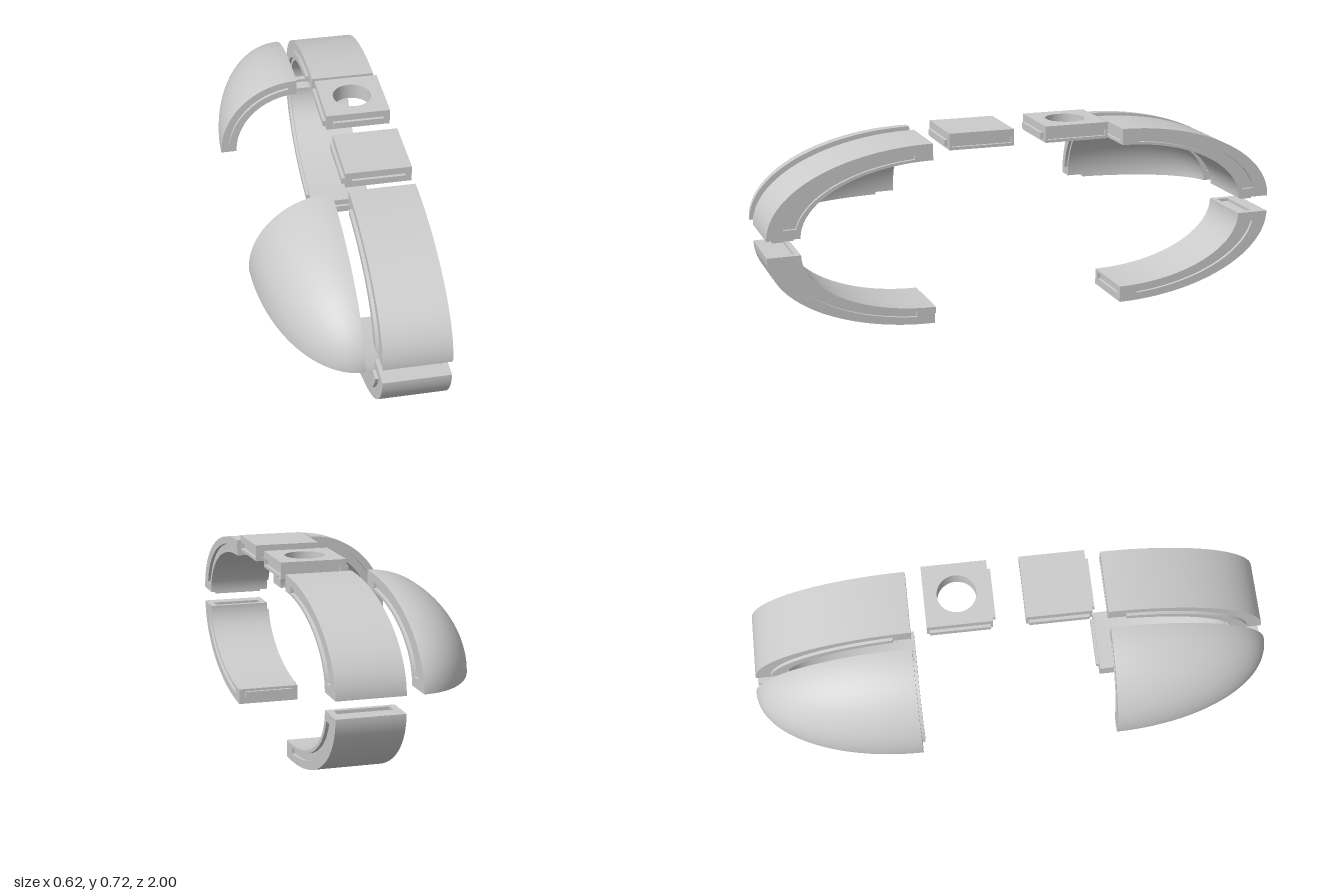
import * as THREE from 'three';
import { mergeGeometries } from 'three/addons/utils/BufferGeometryUtils.js';

const V = (x, y, z) => new THREE.Vector3(x, y, z);
const X0 = 0.0625, X1 = 0.3125;          // strip and tile extent in x
const C = 0.375;                         // split plane of the shells
const R = 0.3125, RI = 0.25;             // outer and inner radius (doubled along z)
const J0 = 0.26, J1 = 0.284;             // radii of the joint rib
const D = 0.012;                         // joint height or depth

// In-plane axes for each facing direction (u x v = outward normal)
const FACES = {
  '+x': [V(0, 0, -1), V(0, 1, 0)], '-x': [V(0, 0, 1), V(0, 1, 0)],
  '+z': [V(1, 0, 0), V(0, 1, 0)], '-z': [V(-1, 0, 0), V(0, 1, 0)],
  '+y': [V(1, 0, 0), V(0, 0, -1)], '-y': [V(1, 0, 0), V(0, 0, 1)],
};

const rect = (u0, u1, v0, v1) =>
  [[u0, v0], [u1, v0], [u1, v1], [u0, v1]].map(p => new THREE.Vector2(...p));

const circle = r => new THREE.Path().absarc(0, 0, r, 0, Math.PI * 2).getPoints(24).slice(0, -1);

// Quarter ring in the quadrant (su, sv); ku, kv stretch it, m trims both ends
function ring(su, sv, r0, r1, ku, kv, m = 0) {
  const arc = r => Array.from({ length: 41 }, (_, i) => {
    const a = Math.asin(m / r), t = a + (Math.PI / 2 - 2 * a) * i / 40;
    return new THREE.Vector2(su * ku * r * Math.cos(t), sv * kv * r * Math.sin(t));
  });
  return [...arc(r1), ...arc(r0).reverse()];
}

// Flat face with a raised tongue (depth > 0), a groove (depth < 0) or a cut-out (0)
function panel(face, origin, outline, slot, depth) {
  const shape = new THREE.Shape(outline);
  if (slot) shape.holes.push(new THREE.Path(slot));
  const list = [new THREE.ShapeGeometry(shape)];
  if (depth) {
    list.push(new THREE.ShapeGeometry(new THREE.Shape(slot)).translate(0, 0, depth));
    const pts = THREE.ShapeUtils.isClockWise(slot) ? [...slot].reverse() : slot;
    const pos = [];
    pts.forEach((a, i) => {
      const b = pts[(i + 1) % pts.length];
      pos.push(a.x, a.y, 0, b.x, b.y, 0, b.x, b.y, depth, a.x, a.y, 0, b.x, b.y, depth, a.x, a.y, depth);
    });
    const wall = new THREE.BufferGeometry();
    wall.setAttribute('position', new THREE.Float32BufferAttribute(pos, 3));
    wall.computeVertexNormals();
    list.push(wall);
  }
  const [u, v] = FACES[face];
  const m = new THREE.Matrix4().makeBasis(u, v, u.clone().cross(v)).setPosition(origin);
  return list.map(g => g.applyMatrix4(m));
}

// Turn a surface inside out
function flip(g) {
  const idx = g.index.array;
  for (let i = 0; i < idx.length; i += 3) [idx[i], idx[i + 1]] = [idx[i + 1], idx[i]];
  const n = g.attributes.normal;
  for (let i = 0; i < n.array.length; i++) n.array[i] *= -1;
  return g;
}

function part(name, ...geos) {
  const flat = geos.flat().map(g => {
    const out = g.index ? g.toNonIndexed() : g;
    out.deleteAttribute('uv');
    return out;
  });
  const mesh = new THREE.Mesh(mergeGeometries(flat), new THREE.MeshStandardMaterial({ color: 0xcccccc }));
  mesh.name = name;
  return mesh;
}

// Eighth of a hollow ellipsoid; s is the end it sits at
function corner(name, s) {
  const o = V(0, C, s * C);
  const skin = r => new THREE.SphereGeometry(1, 40, 40, s > 0 ? 0 : Math.PI * 1.5, Math.PI / 2, 0, Math.PI / 2)
    .scale(r, r, 2 * r).translate(o.x, o.y, o.z);
  return part(name, skin(R), flip(skin(RI)),
    panel('+x', o, ring(-s, 1, RI, R, 2, 1), ring(-s, 1, J0, J1, 2, 1, 0.035), -D),
    panel('-y', o, ring(-1, s, RI, R, 1, 2), ring(-1, s, J0, J1, 1, 2, 0.035), D),
    s > 0
      ? panel('-z', o, ring(1, 1, RI, R, 1, 1), ring(1, 1, J0, J1, 1, 1, 0.035), -D)
      : panel('+z', o, ring(-1, 1, RI, R, 1, 1), ring(-1, 1, J0, J1, 1, 1, 0.035), D));
}

// Quarter-ellipse strip; s is the end, t is up (1) or down (-1)
function strip(name, s, t) {
  const cy = t > 0 ? C : R, mid = (X0 + X1) / 2, w = X1 - X0, h = w / 2, j = 0.1;
  const start = t > 0 ? (s > 0 ? 0 : 0.5) : (s > 0 ? 1.5 : 1);
  const skin = r => new THREE.CylinderGeometry(1, 1, w, 40, 1, true, start * Math.PI, Math.PI / 2)
    .rotateZ(Math.PI / 2).scale(1, r, 2 * r).translate(mid, cy, s * C);
  const side = (face, x, su, d) => panel(face, V(x, cy, s * C),
    ring(su, t, RI, R, 2, 1), ring(su, t, J0, J1, 2, 1, 0.035), d);
  const span = (k, a, b) => [k * a, k * b];
  const level = t > 0 ? '-y' : '+y', q = t > 0 ? s : -s;
  const tongue = s > 0 && t < 0;
  return part(name, skin(R), flip(skin(RI)),
    side('+x', X1, -s, -D), side('-x', X0, s, D),
    panel(level, V(mid, cy, s * C), rect(-h, h, ...span(q, 2 * RI, 2 * R)),
      rect(-j, j, ...span(q, 2 * J0, 2 * J1)), t > 0 ? D : -D),
    panel(s > 0 ? '-z' : '+z', V(mid, cy, s * C), rect(-h, h, ...span(t, RI, R)),
      rect(-j, j, ...span(t, J0, J1)), tongue ? D : -D));
}

// Square tile, optionally with a round hole
function tile(name, s, hole) {
  const mid = (X0 + X1) / 2, h = (X1 - X0) / 2, z = s * mid, y0 = 0.657, t = R - RI;
  const edge = (face, dx, dz, j, d) => panel(face, V(mid + dx, y0, z + dz),
    rect(-h, h, 0, t), rect(-j, j, 0.011, 0.035), d);
  const cut = hole ? circle(0.075) : null;
  const geos = [
    edge('-x', -h, 0, 0.115, D), edge('+x', h, 0, 0.115, -D),
    edge('+z', 0, h, 0.1, D), edge('-z', 0, -h, 0.1, -D),
    panel('+y', V(mid, y0 + t, z), rect(-h, h, -h, h), cut, 0),
    panel('-y', V(mid, y0, z), rect(-h, h, -h, h), cut, 0),
  ];
  if (hole) geos.push(flip(new THREE.CylinderGeometry(0.075, 0.075, t, 48, 1, true).translate(mid, y0 + t / 2, z)));
  return part(name, ...geos);
}

export function createModel() {
  const model = new THREE.Group();
  model.name = 'shellKit';
  for (const [end, s] of [['front', 1], ['back', -1]]) {
    model.add(corner(end + 'Corner', s));
    model.add(strip(end + 'UpperStrip', s, 1));
    model.add(strip(end + 'LowerStrip', s, -1));
  }
  model.add(tile('plainTile', 1, false), tile('holeTile', -1, true));
  return model;
}
